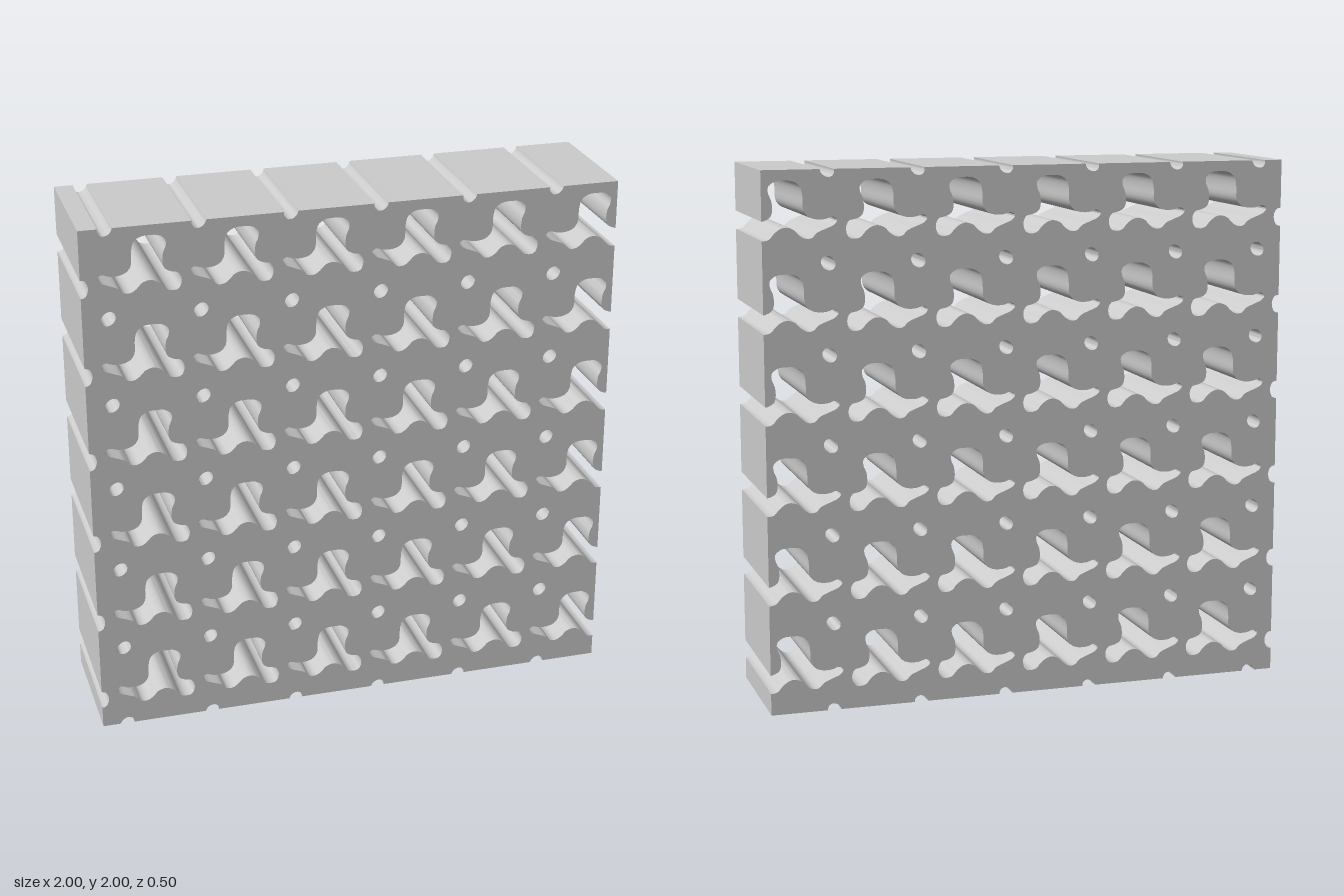
import * as THREE from 'three';
import { toCreasedNormals } from 'three/addons/utils/BufferGeometryUtils.js';

const N = 6, PITCH = 2 / N, DEPTH = 0.5;

// Three-lobed opening within one cell, clockwise from the left of its arch.
const LOBED = [
  [0.184, 0.236], [0.193, 0.274], [0.219, 0.292], [0.251, 0.295], [0.283, 0.292],
  [0.307, 0.274], [0.307, 0.25], [0.297, 0.226], [0.294, 0.188], [0.302, 0.166],
  [0.324, 0.154], [0.35, 0.147], [0.361, 0.119], [0.348, 0.086], [0.31, 0.086],
  [0.289, 0.108], [0.267, 0.124], [0.246, 0.129], [0.219, 0.121], [0.198, 0.1],
  [0.176, 0.087], [0.152, 0.089], [0.134, 0.107], [0.102, 0.121], [0.07, 0.135],
  [0.059, 0.151], [0.075, 0.164], [0.102, 0.156], [0.139, 0.156], [0.166, 0.167],
  [0.182, 0.191],
];

const lobedLoop = new THREE.CatmullRomCurve3(
  LOBED.map(([x, y]) => new THREE.Vector3(x, y, 0)), true, 'centripetal'
).getPoints(80).slice(0, -1).map((p) => new THREE.Vector2(p.x, p.y));

// Small tilted oval, also clockwise.
const ovalLoop = new THREE.EllipseCurve(0.094, -0.002, 0.029, 0.024, 0, Math.PI * 2, true, Math.PI / 4)
  .getPoints(24).slice(0, -1);

// Copy of a loop moved to cell (i, k).
const place = (loop, i, k) =>
  loop.map((p) => new THREE.Vector2(p.x - 1 + i * PITCH, p.y + k * PITCH));

// The run of a loop where dist(p) > 0, with exact crossing points at both ends.
function clipRun(loop, dist) {
  const n = loop.length, at = (i) => loop[(i + n) % n];
  const start = loop.findIndex((p, i) => dist(p) > 0 && dist(at(i - 1)) <= 0);
  const cross = (a, b) => a.clone().lerp(b, dist(a) / (dist(a) - dist(b)));
  const run = [cross(at(start - 1), at(start))];
  let i = start;
  for (; dist(at(i)) > 0; i++) run.push(at(i));
  run.push(cross(at(i - 1), at(i)));
  return run;
}

export function createModel() {
  const group = new THREE.Group();
  group.name = 'perforatedBlock';

  // Outer edge, counter-clockwise, notched where the pattern runs off the block.
  const outline = [new THREE.Vector2(-1, 0)];
  for (let i = 0; i < N; i++) outline.push(...clipRun(place(ovalLoop, i, 0), (p) => p.y));
  outline.push(new THREE.Vector2(1, 0));
  for (let k = 0; k < N; k++) outline.push(...clipRun(place(lobedLoop, N - 1, k), (p) => 1 - p.x));
  outline.push(new THREE.Vector2(1, 2));
  for (let i = N - 1; i >= 0; i--) outline.push(...clipRun(place(ovalLoop, i, N), (p) => 2 - p.y));
  outline.push(new THREE.Vector2(-1, 2));
  for (let k = N - 1; k >= 0; k--) outline.push(...clipRun(place(lobedLoop, -1, k), (p) => p.x + 1));

  // Complete openings inside the block.
  const shape = new THREE.Shape(outline);
  for (let k = 0; k < N; k++) {
    for (let i = 0; i < N; i++) {
      if (i < N - 1) shape.holes.push(new THREE.Path(place(lobedLoop, i, k)));
      if (k > 0) shape.holes.push(new THREE.Path(place(ovalLoop, i, k)));
    }
  }

  const extruded = new THREE.ExtrudeGeometry(shape, { depth: DEPTH, bevelEnabled: false });
  extruded.translate(0, 0, -DEPTH / 2);
  const block = new THREE.Mesh(
    toCreasedNormals(extruded, 0.6),
    new THREE.MeshStandardMaterial({ color: 0xcccccc })
  );
  block.name = 'latticeBlock';
  group.add(block);
  return group;
}
